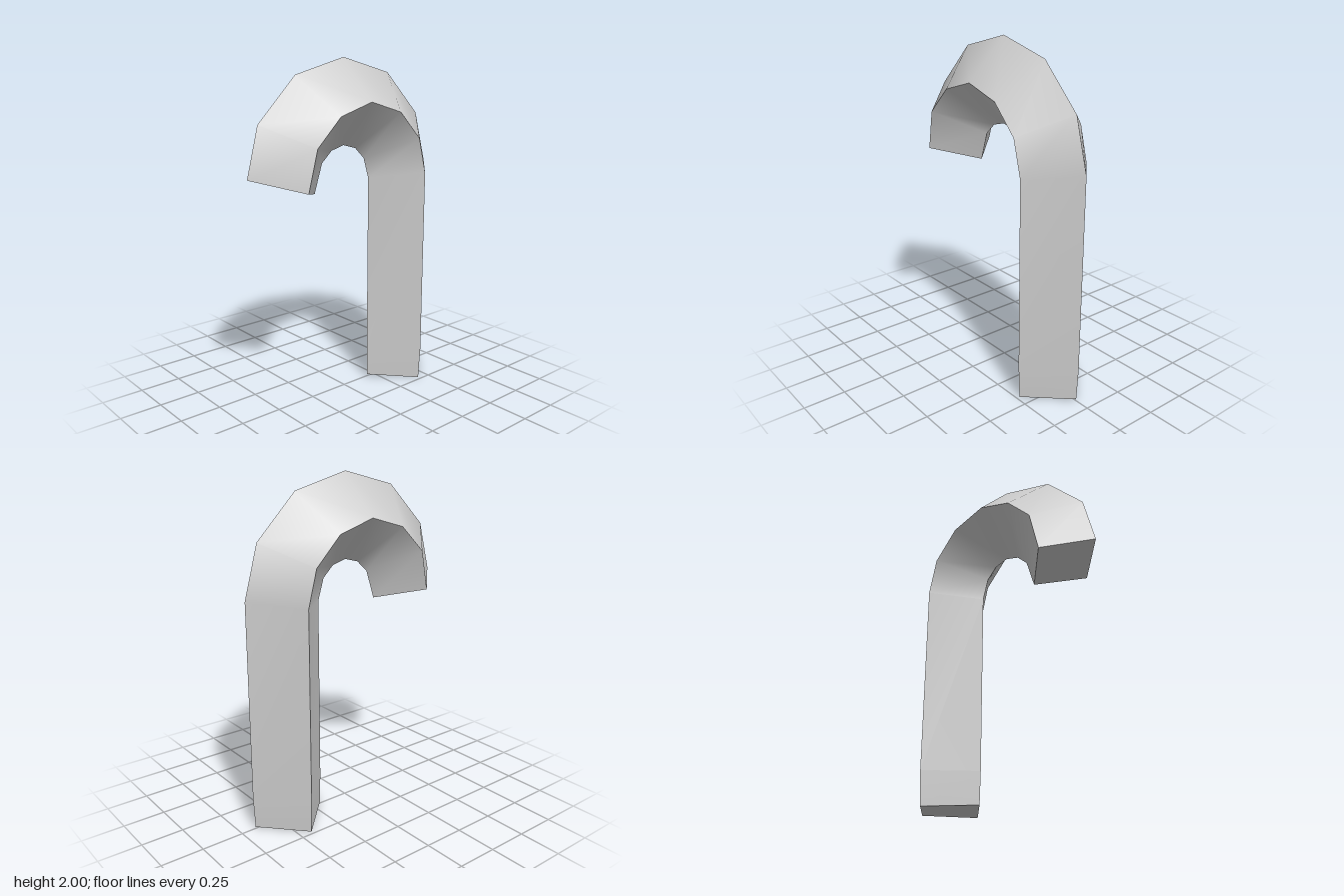
import * as THREE from 'three';

// Cross-sections from the hook tip, over the bend, down to the foot:
// outer edge x, y; side edges x, y and half depth; inner edge x, y
const SECTIONS = [
  [-0.67, 1.375, -0.44, 1.305, 0.23, -0.22, 1.245],
  [-0.595, 1.66, -0.385, 1.54, 0.24, -0.165, 1.415],
  [-0.345, 1.91, -0.225, 1.697, 0.24, -0.095, 1.48],
  [-0.005, 2.0, -0.005, 1.763, 0.24, -0.005, 1.505],
  [0.337, 1.91, 0.217, 1.697, 0.24, 0.085, 1.48],
  [0.585, 1.66, 0.375, 1.535, 0.24, 0.152, 1.415],
  [0.67, 1.355, 0.43, 1.325, 0.24, 0.19, 1.29],
  [0.67, 0.2, 0.43, 0.2, 0.24, 0.19, 0.2],
  [0.66, 0.01, 0.427, 0, 0.23, 0.195, 0.01],
];

// Four corners of a section: outer, front, inner, back
const corners = ([ox, oy, mx, my, d, ix, iy]) => [
  [ox, oy, 0], [mx, my, d], [ix, iy, 0], [mx, my, -d],
];

function build(points, index) {
  const geometry = new THREE.BufferGeometry();
  geometry.setAttribute('position', new THREE.Float32BufferAttribute(points.flat(), 3));
  geometry.setIndex(index);
  geometry.computeVertexNormals();
  return geometry;
}

export function createModel() {
  const group = new THREE.Group();
  group.name = 'cane';
  const grey = new THREE.MeshStandardMaterial({ color: 0xcccccc });
  grey.name = 'light grey';
  const add = (name, geometry) => {
    const mesh = new THREE.Mesh(geometry, grey);
    mesh.name = name;
    group.add(mesh);
  };
  const rings = SECTIONS.map(corners);

  // Four long sides, smooth along the bend with sharp edges between them
  ['outerFront', 'innerFront', 'innerBack', 'outerBack'].forEach((name, s) => {
    const points = [];
    const index = [];
    rings.forEach((ring, i) => {
      points.push(ring[s], ring[(s + 1) % 4]);
      if (i < rings.length - 1) {
        const a = i * 2;
        index.push(a, a + 1, a + 3, a, a + 3, a + 2);
      }
    });
    add(name + 'Side', build(points, index));
  });

  // Flat ends
  add('hookTip', build(rings[0], [0, 2, 1, 0, 3, 2]));
  add('foot', build(rings[rings.length - 1], [0, 1, 2, 0, 2, 3]));
  return group;
}
